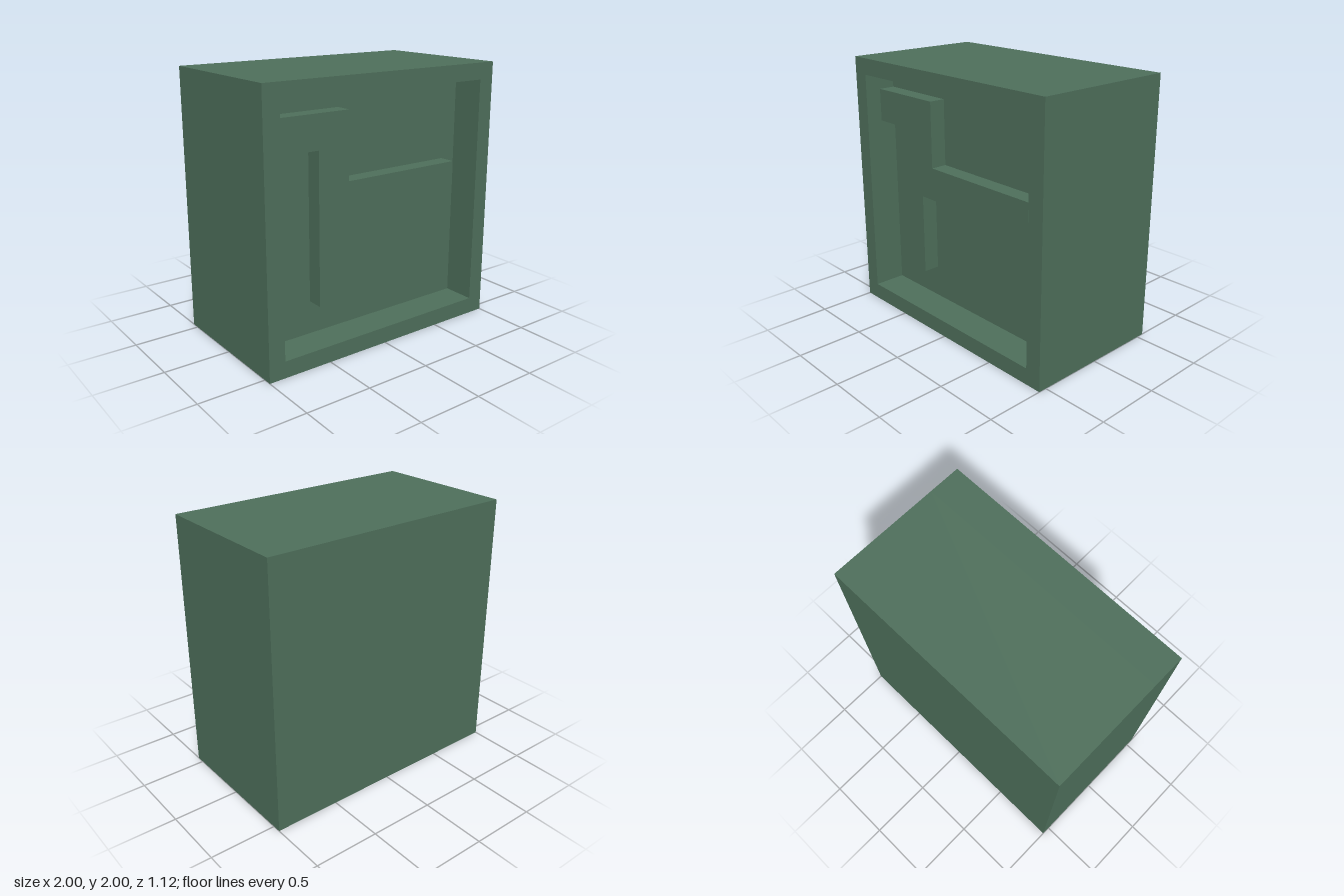
import * as THREE from 'three';

const DEPTH = 1.125;   // whole block
const RECESS = 0.25;   // depth of the front pocket
const RELIEF = 0.125;  // height of the raised shape in the pocket

const points = (list) => list.map(([x, y]) => new THREE.Vector2(x, y));
const rect = (x, y0, y1) => points([[-x, y0], [x, y0], [x, y1], [-x, y1]]);

export function createModel() {
  const model = new THREE.Group();
  const green = new THREE.MeshStandardMaterial({ color: 0x4e6f5b });
  green.name = 'mutedGreen';

  // Extrudes a shape forward from z
  const addSlab = (name, shape, z, depth) => {
    const geometry = new THREE.ExtrudeGeometry(shape, { depth, bevelEnabled: false });
    const mesh = new THREE.Mesh(geometry, green);
    mesh.name = name;
    mesh.position.z = z;
    model.add(mesh);
  };

  const back = -DEPTH / 2;
  const floor = DEPTH / 2 - RECESS;

  // Solid body behind the pocket
  addSlab('body', new THREE.Shape(rect(1, 0, 2)), back, DEPTH - RECESS);

  // Square rim around the pocket
  const rim = new THREE.Shape(rect(1, 0, 2));
  rim.holes.push(new THREE.Path(rect(0.875, 0.125, 1.875)));
  addSlab('rim', rim, floor, RECESS);

  // Raised branching bar, joined to the rim on one side
  const relief = new THREE.Shape(points([
    [-0.875, 1.5], [-0.5, 1.5], [-0.5, 0.375], [-0.375, 0.375], [-0.375, 1],
    [0.75, 1], [0.75, 1.25], [-0.25, 1.25], [-0.25, 1.75], [-0.875, 1.75],
  ]));
  addSlab('raisedBar', relief, floor, RELIEF);

  return model;
}
